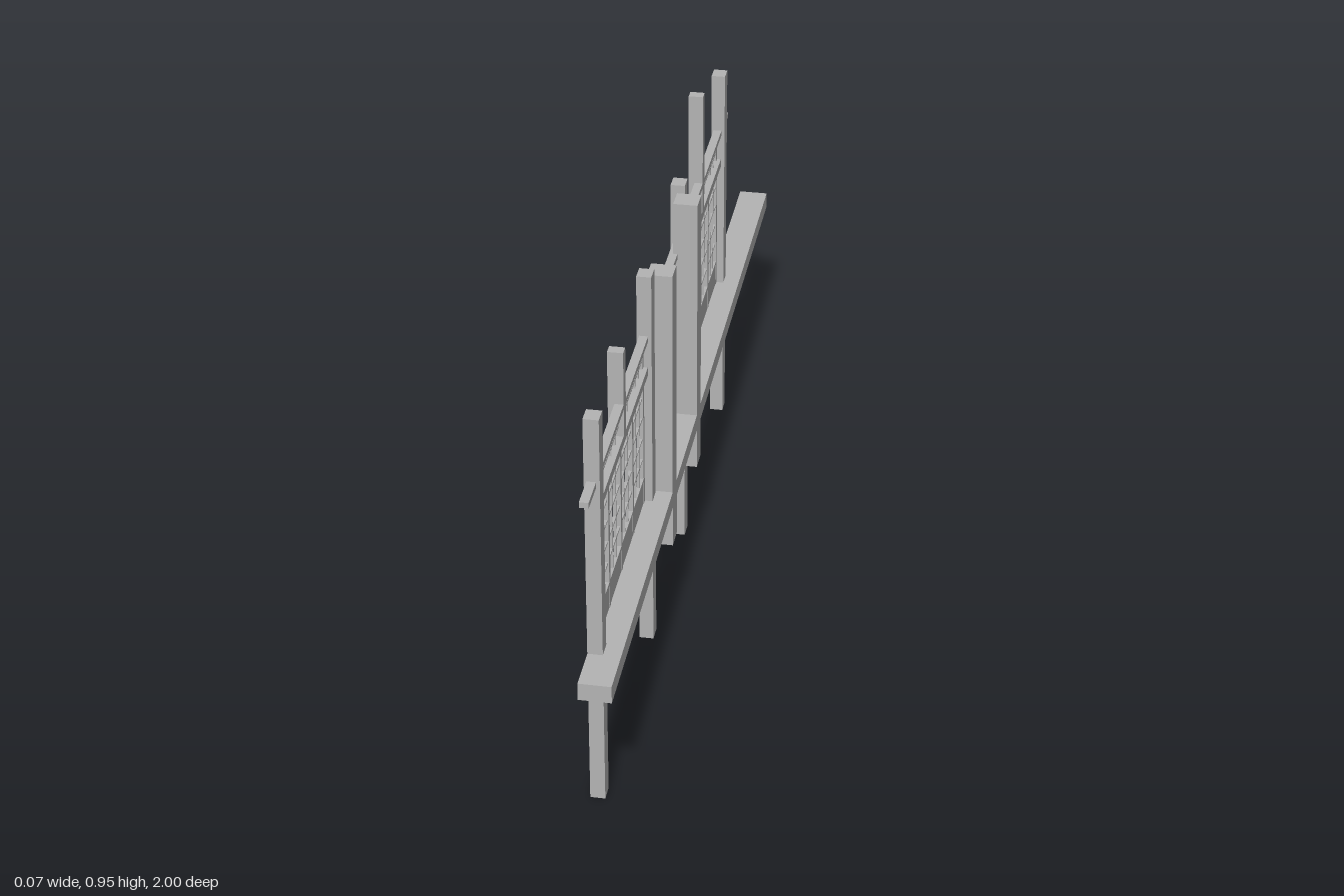
import * as THREE from 'three';

export function createModel() {
  const model = new THREE.Group();
  model.name = 'latticeFence';
  const grey = new THREE.MeshStandardMaterial({ color: 0xb4b4b4 });
  grey.name = 'plain grey';

  // Box given by its limits along x, y and z
  function box(name, parent, x0, x1, y0, y1, z0, z1) {
    const mesh = new THREE.Mesh(new THREE.BoxGeometry(x1 - x0, y1 - y0, z1 - z0), grey);
    mesh.position.set((x0 + x1) / 2, (y0 + y1) / 2, (z0 + z1) / 2);
    mesh.name = name;
    parent.add(mesh);
  }

  // Long members
  box('sillBeam', model, -0.03, 0.035, 0.31, 0.348, -1, 1);
  box('topRail', model, -0.025, -0.007, 0.727, 0.739, -0.64, 0.975);

  // Slim posts down to the ground
  for (const z of [0.889, 0.359, -0.032, -0.562])
    box('post', model, -0.03, 0, 0, 0.873, z - 0.017, z + 0.017);

  // Heavy gate posts
  for (const z of [0.313, 0.011])
    box('gatePost', model, -0.016, 0.035, 0.216, 0.856, z - 0.024, z + 0.024);

  // One bay: four sliding panels, transom lattice and short upper post
  function bay(z0, z1, stubTop) {
    const group = new THREE.Group();
    group.name = 'screenBay';
    model.add(group);
    const mid = (z0 + z1) / 2;
    box('stubPost', group, -0.038, -0.007, 0.667, stubTop, mid - 0.011, mid + 0.011);
    box('middleRail', group, -0.028, -0.008, 0.648, 0.667, z0, z1);

    const count = 4, width = (z1 - z0) / count;
    for (let i = 0; i < count; i++) {
      const a = z0 + i * width, b = a + width;
      const panel = new THREE.Group();
      panel.name = 'slidingPanel';
      group.add(panel);
      box('kickBoard', panel, -0.025, -0.017, 0.348, 0.405, a, b);
      // Outer stiles are wider where they meet the posts
      box('stile', panel, -0.028, -0.016, 0.348, 0.648, a, a + (i === 0 ? 0.011 : 0.006));
      box('stile', panel, -0.028, -0.016, 0.348, 0.648, b - (i === count - 1 ? 0.011 : 0.006), b);
      box('bottomBar', panel, -0.028, -0.016, 0.4, 0.408, a, b);
      // Lattice bars
      for (let k = 1; k < 3; k++) {
        const z = a + 0.006 + (width - 0.012) * k / 3;
        box('uprightBar', panel, -0.024, -0.018, 0.405, 0.648, z - 0.002, z + 0.002);
        box('transomUpright', panel, -0.024, -0.018, 0.667, 0.727, z - 0.002, z + 0.002);
      }
      for (let k = 1; k < 5; k++) {
        const y = 0.405 + 0.243 * k / 5;
        box('crossBar', panel, -0.024, -0.018, y - 0.002, y + 0.002, a, b);
      }
    }

    // Transom frame and its cross bars
    for (const y of [0.687, 0.707])
      box('transomBar', group, -0.024, -0.018, y - 0.002, y + 0.002, z0, z1);
    for (const [a, b] of [[z0, z0 + 0.01], [z1 - 0.01, z1]])
      box('transomEnd', group, -0.025, -0.017, 0.667, 0.727, a, b);
  }
  bay(0.376, 0.872, 0.853);
  bay(-0.545, -0.049, 0.946);

  return model;
}
